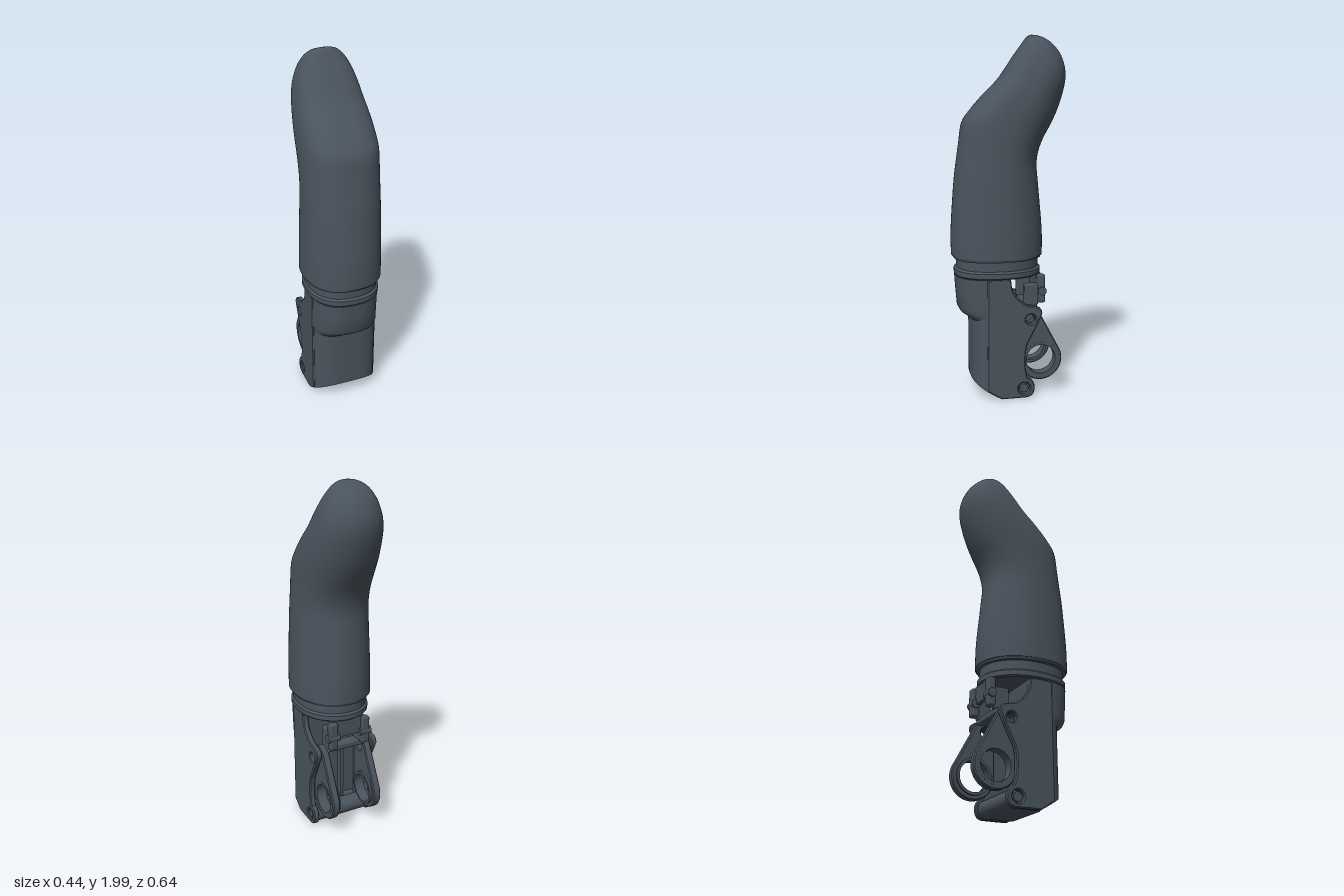
import * as THREE from 'three';
import { toCreasedNormals } from 'three/addons/utils/BufferGeometryUtils.js';
import { RoundedBoxGeometry } from 'three/addons/geometries/RoundedBoxGeometry.js';

const material = new THREE.MeshStandardMaterial({ color: 0x4a545e });
const SEG = 72;

function part(parent, name, geometry, x = 0, y = 0, z = 0) {
  const mesh = new THREE.Mesh(geometry, material);
  mesh.name = name;
  mesh.position.set(x, y, z);
  parent.add(mesh);
  return mesh;
}

const sPow = (v, p) => Math.sign(v) * Math.pow(Math.abs(v), p);

// Stack of horizontal superellipse sections.
// row: { y (number or function of z), f: front z, b: back z, w: half width, c: widest z, nf, nb: roundness }
function loft(rows, crease = 0.6) {
  const pos = [], idx = [];
  for (const r of rows) {
    const c = r.c ?? (r.f + r.b) / 2;
    for (let j = 0; j < SEG; j++) {
      const a = (j / SEG) * Math.PI * 2, s = Math.sin(a);
      const n = s > 0 ? (r.nf ?? 2.4) : (r.nb ?? 2.1);
      const z = c + sPow(s, 2 / n) * (s > 0 ? r.f - c : c - r.b);
      pos.push(r.w * sPow(Math.cos(a), 2 / n), typeof r.y === 'function' ? r.y(z) : r.y, z);
    }
  }
  for (let i = 0; i < rows.length - 1; i++) {
    for (let j = 0; j < SEG; j++) {
      const k = (j + 1) % SEG, a = i * SEG + j, b = i * SEG + k;
      idx.push(a, a + SEG, b, b, a + SEG, b + SEG);
    }
  }
  // end caps
  for (const [i, top] of [[0, false], [rows.length - 1, true]]) {
    const r = rows[i], z = r.c ?? (r.f + r.b) / 2, m = pos.length / 3;
    pos.push(0, typeof r.y === 'function' ? r.y(z) : r.y, z);
    for (let j = 0; j < SEG; j++) {
      const a = i * SEG + j, b = i * SEG + (j + 1) % SEG;
      if (top) idx.push(m, b, a); else idx.push(m, a, b);
    }
  }
  const g = new THREE.BufferGeometry();
  g.setAttribute('position', new THREE.Float32BufferAttribute(pos, 3));
  g.setIndex(idx);
  return toCreasedNormals(g, crease);
}

// Side-profile shape in (z, y), extruded across x and centred on x = 0
function sidePlate(shape, thickness, bevel = 0.006) {
  const depth = thickness - 2 * bevel;
  const g = new THREE.ExtrudeGeometry(shape, {
    depth, curveSegments: 32, bevelEnabled: true, bevelSize: bevel,
    bevelOffset: -bevel, bevelThickness: bevel, bevelSegments: 1,
  });
  g.translate(0, 0, -depth / 2).rotateY(-Math.PI / 2);
  return toCreasedNormals(g, 0.5);
}

function hole(shape, z, y, r) {
  shape.holes.push(new THREE.Path().absarc(z, y, r, 0, Math.PI * 2, true));
}

function crossPin(r, length) {
  return new THREE.CylinderGeometry(r, r, length, 32).rotateZ(Math.PI / 2);
}

// Curved fingertip with a sloping pad on the front
function fingertip() {
  const keys = [ // y, front, back, half width
    [0.80, 0.32, -0.19, 0.22], [0.95, 0.32, -0.188, 0.218], [1.2, 0.302, -0.165, 0.212],
    [1.32, 0.287, -0.157, 0.209], [1.42, 0.272, -0.182, 0.207], [1.53, 0.253, -0.24, 0.205],
    [1.6, 0.205, -0.272, 0.201], [1.68, 0.135, -0.299, 0.193], [1.76, 0.055, -0.316, 0.181],
    [1.83, 0.005, -0.313, 0.165], [1.9, -0.042, -0.287, 0.139], [1.95, -0.078, -0.247, 0.109],
    [1.98, -0.099, -0.205, 0.078], [1.995, -0.112, -0.165, 0.045], [2.0, -0.125, -0.14, 0.012],
  ];
  const curves = [1, 2, 3].map(k => new THREE.SplineCurve(keys.map(r => new THREE.Vector2(r[0], r[k]))));
  const rows = [], N = 70;
  for (let i = 0; i <= N; i++) {
    const [f, b, w] = curves.map(c => c.getPoint(i / N));
    const pad = THREE.MathUtils.smoothstep(f.x, 1.3, 1.65);
    rows.push({ y: f.x, f: f.y, b: b.y, w: w.y, nf: 2.3 + pad * 0.6, nb: 2.15 });
  }
  return loft(rows, 0.9);
}

export function createModel() {
  const model = new THREE.Group();
  model.name = 'roboticFinger';

  part(model, 'fingertip', fingertip());

  // Stepped collar between tip and knuckle
  const ring = (y, f, b, w) => ({ y, f, b, w });
  part(model, 'collar', loft([
    ring(0.69, 0.298, -0.172, 0.198), ring(0.698, 0.305, -0.18, 0.206), ring(0.725, 0.305, -0.18, 0.206),
    ring(0.735, 0.292, -0.167, 0.196), ring(0.785, 0.292, -0.167, 0.196),
    ring(0.787, 0.31, -0.182, 0.212), ring(0.802, 0.317, -0.188, 0.218),
  ]));

  // Swollen shroud under the collar
  part(model, 'shroud', loft([
    [0.44, 0.215, 0.188], [0.465, 0.245, 0.193], [0.485, 0.275, 0.194], [0.51, 0.289, 0.194],
    [0.6, 0.297, 0.194], [0.69, 0.303, 0.195],
  ].map(([y, f, w]) => ({ y, f, b: 0.02, w, c: 0.07, nf: 2.6, nb: 9 }))));

  // Lower front shell with a slanted underside
  const shell = y => ({ y, f: 0.22, b: 0.06, w: 0.194, c: 0.09, nf: 3, nb: 9 });
  part(model, 'frontShell', loft([shell(z => Math.max(0.015, 0.1 - (0.22 - z) * 0.6)), shell(0.5)]));

  // Side plates carrying the two pivots
  const plate = new THREE.Shape();
  plate.moveTo(0.15, 0.058);
  plate.lineTo(0.15, 0.69);
  plate.lineTo(0.02, 0.69);
  plate.bezierCurveTo(0.015, 0.6, -0.01, 0.58, -0.07, 0.54);
  plate.lineTo(-0.12, 0.53);
  plate.quadraticCurveTo(-0.16, 0.52, -0.155, 0.485);
  plate.lineTo(-0.13, 0.43);
  plate.lineTo(-0.07, 0.31);
  plate.quadraticCurveTo(-0.05, 0.21, -0.075, 0.125);
  plate.quadraticCurveTo(-0.115, 0.11, -0.115, 0.065);
  plate.quadraticCurveTo(-0.115, 0.01, -0.06, 0.01);
  plate.lineTo(0.07, 0.01);
  hole(plate, -0.09, 0.46, 0.028);
  hole(plate, -0.055, 0.065, 0.033);

  // Ring arms: tapered link between a small eye and a large ring
  const arm = new THREE.Shape();
  const big = [-0.158, 0.215, 0.12], small = [-0.095, 0.465, 0.058];
  const dir = Math.atan2(small[1] - big[1], small[0] - big[0]);
  const spread = Math.acos((big[2] - small[2]) / Math.hypot(small[0] - big[0], small[1] - big[1]));
  arm.absarc(...big, dir + spread, dir - spread + Math.PI * 2, false);
  arm.absarc(...small, dir - spread, dir + spread, false);
  hole(arm, big[0], big[1], 0.083);
  hole(arm, -0.09, 0.46, 0.028);

  const plateGeo = sidePlate(plate, 0.035), armGeo = sidePlate(arm, 0.045);
  const ringGeo = toCreasedNormals(new THREE.LatheGeometry([
    [0.083, -0.03], [0.098, -0.03], [0.098, 0.03], [0.083, 0.03], [0.083, -0.03],
  ].map(p => new THREE.Vector2(...p)), 48).rotateZ(Math.PI / 2), 0.5);
  for (const [side, s] of [['left', 1], ['right', -1]]) {
    part(model, side + 'SidePlate', plateGeo, s * 0.1775);
    part(model, side + 'RingArm', armGeo, s * 0.1325);
    part(model, side + 'BearingRing', ringGeo, s * 0.126, big[1], big[0]);

    // Hanging lug with pin on each side of the bracket
    part(model, side + 'BracketLug', new RoundedBoxGeometry(0.045, 0.12, 0.08, 2, 0.008), s * 0.1, 0.58, -0.11);
    part(model, side + 'BracketPost', new RoundedBoxGeometry(0.05, 0.16, 0.045, 2, 0.012), s * 0.1, 0.61, -0.168);
    part(model, side + 'BracketPin', crossPin(0.024, 0.07), s * 0.1, 0.6, -0.17);
    part(model, side + 'InnerRib', new THREE.BoxGeometry(0.02, 0.4, 0.05), s * 0.06, 0.27, 0.045);
  }

  // Cross members
  part(model, 'bracketWeb', new THREE.BoxGeometry(0.16, 0.1, 0.025), 0, 0.645, -0.158);
  part(model, 'armBridge', new RoundedBoxGeometry(0.24, 0.035, 0.07, 2, 0.008), 0, 0.513, -0.11);
  part(model, 'lowerBarrel', crossPin(0.05, 0.32), 0, 0.063, -0.055);
  part(model, 'lowerPivotPin', crossPin(0.024, 0.375), 0, 0.065, -0.055);
  part(model, 'floorBlock', new RoundedBoxGeometry(0.3, 0.06, 0.15, 2, 0.01), 0, 0.042, 0.02);
  return model;
}
